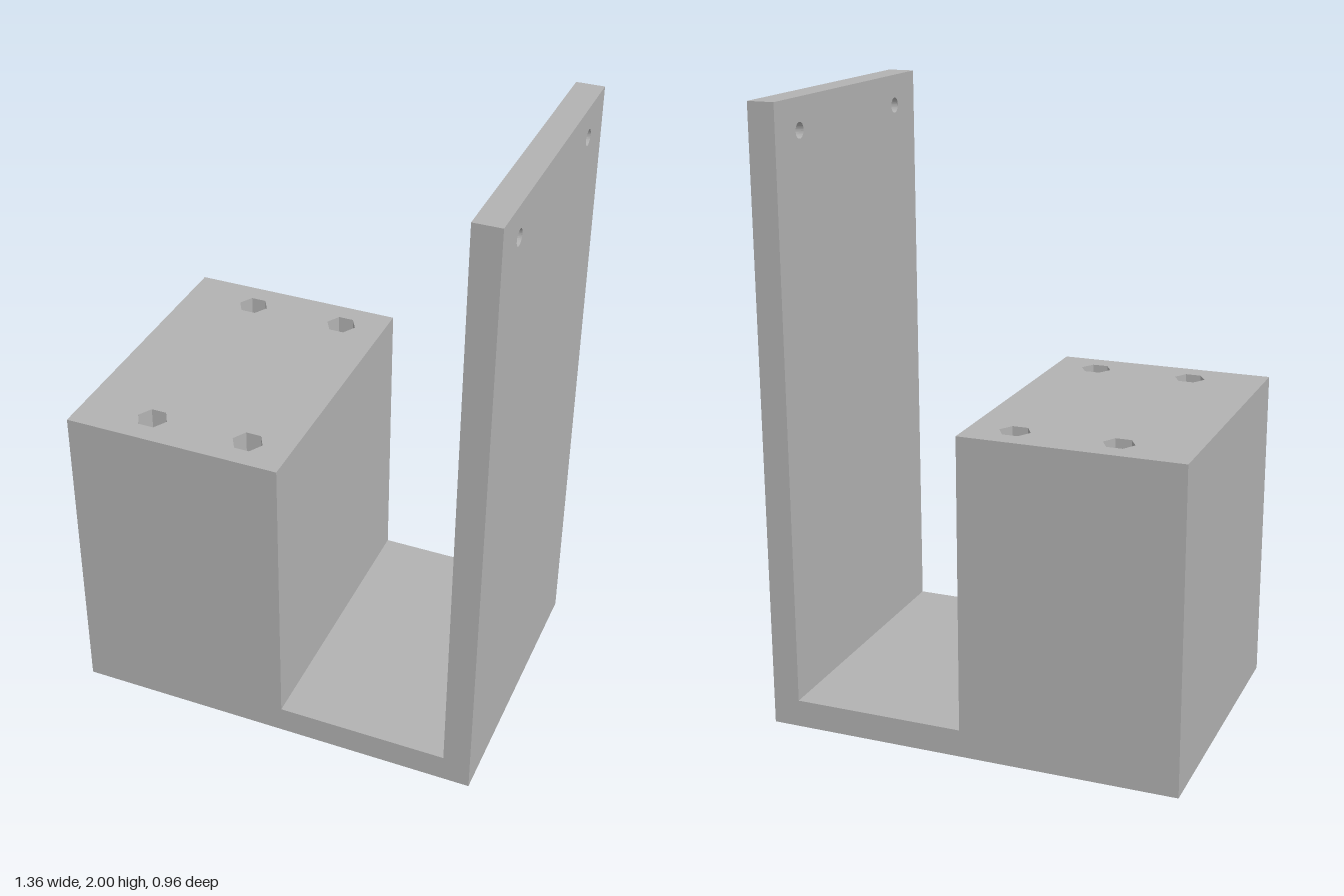
import * as THREE from 'three';

const W = 0.96; // full width along z

// Rectangle outline with polygonal holes: [x, y, radius, sides]
function plate(x0, y0, x1, y1, holes, depth) {
  const shape = new THREE.Shape([
    new THREE.Vector2(x0, y0), new THREE.Vector2(x1, y0),
    new THREE.Vector2(x1, y1), new THREE.Vector2(x0, y1),
  ]);
  for (const [cx, cy, r, sides] of holes) {
    const pts = [];
    for (let i = 0; i < sides; i++) {
      const a = -i / sides * Math.PI * 2;
      pts.push(new THREE.Vector2(cx + r * Math.cos(a), cy + r * Math.sin(a)));
    }
    shape.holes.push(new THREE.Path(pts));
  }
  return new THREE.ExtrudeGeometry(shape, { depth, bevelEnabled: false });
}

export function createModel() {
  const group = new THREE.Group();
  const grey = new THREE.MeshStandardMaterial({ color: 0xb2b2b2 });
  grey.name = 'plain grey';

  const add = (name, geometry) => {
    const mesh = new THREE.Mesh(geometry, grey);
    mesh.name = name;
    group.add(mesh);
  };

  // Floor joining the block and the upright plate
  add('floor', new THREE.BoxGeometry(1.36, 0.09, W).translate(0, 0.045, 0));

  // Block in layers: solid foot, round bores, hexagonal nut pockets
  const layer = (name, y0, y1, r, sides) => {
    const holes = [];
    if (r) for (const x of [-0.44, -0.115]) for (const z of [-0.37, 0.37]) holes.push([x, z, r, sides]);
    add(name, plate(-0.68, -W / 2, 0.03, W / 2, holes, y1 - y0).rotateX(-Math.PI / 2).translate(0, y0, 0));
  };
  layer('blockFoot', 0.09, 0.5, 0, 0);
  layer('blockBores', 0.5, 0.95, 0.025, 32);
  layer('blockNutPockets', 0.95, 1.05, 0.05, 6);

  // Upright plate with two mounting holes
  const wallHoles = [-0.33, 0.33].map((z) => [z, 1.9, 0.025, 32]);
  add('uprightPlate', plate(-W / 2, 0.09, W / 2, 2, wallHoles, 0.088)
    .rotateY(Math.PI / 2).translate(0.592, 0, 0));

  return group;
}
